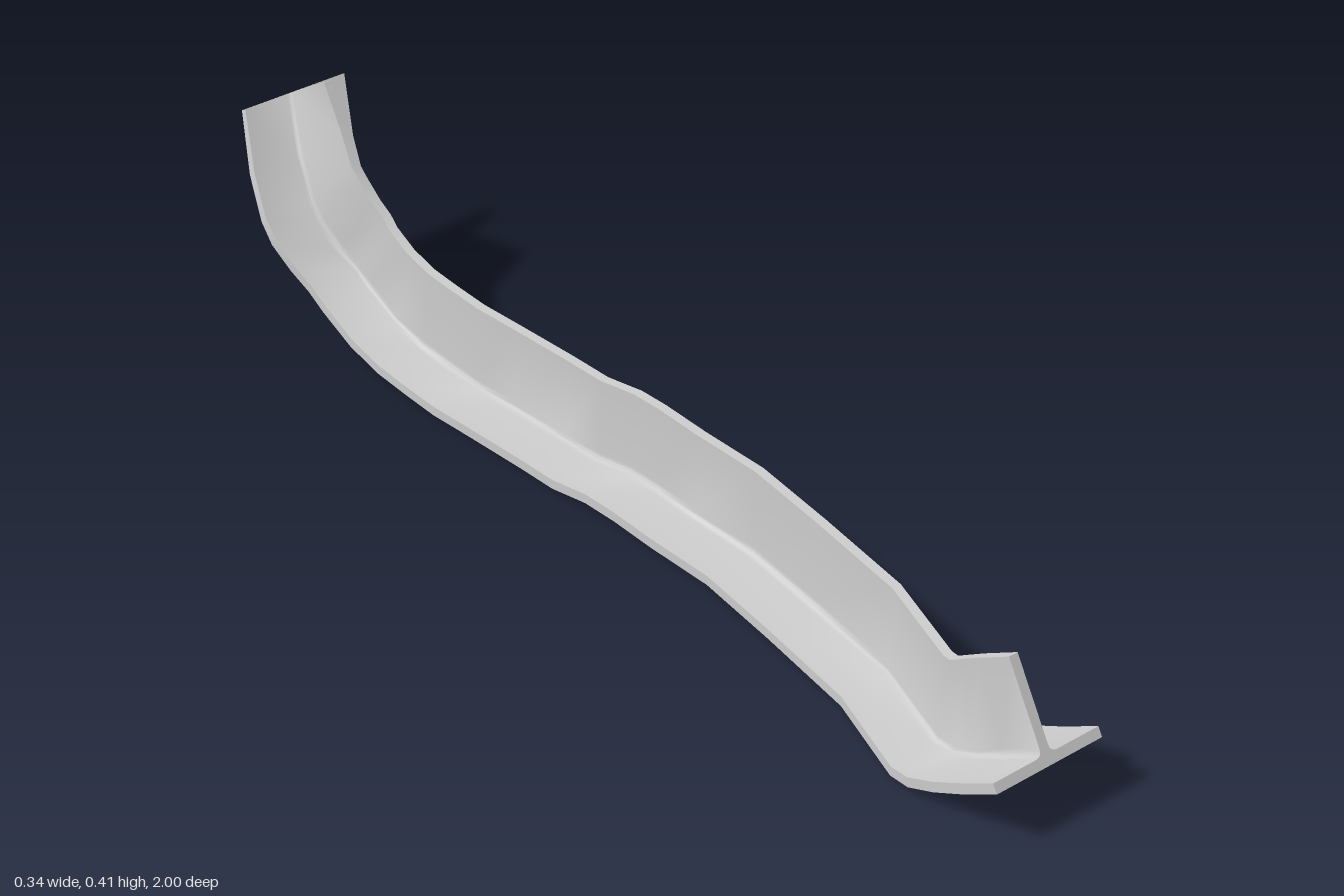
import * as THREE from 'three';
import { toCreasedNormals } from 'three/addons/utils/BufferGeometryUtils.js';

// Stations from back to front: z, y of the underside, x of the centre, pitch in degrees, sideways lean of the web top
const STATIONS = [
  [-1.0, 0.325, 0.064, -59, -0.023],
  [-0.94, 0.235, 0.033, -53, 0.004],
  [-0.89, 0.17, 0.018, -45, 0.012],
  [-0.86, 0.137, 0.017, -41, 0.016],
  [-0.82, 0.1, 0.026, -36, 0.01],
  [-0.78, 0.073, 0.034, -30, 0.004],
  [-0.74, 0.051, 0.034, -24, 0],
  [-0.66, 0.02, 0.032, -13, 0],
  [-0.58, 0.005, 0.03, -6, 0],
  [-0.5, 0.002, 0.028, 0, 0],
  [-0.42, 0.002, 0.025, 0, 0],
  [-0.33, 0.001, 0.031, 0, 0],
  [-0.2, 0.001, 0.037, 0, 0],
  [-0.12, 0.002, 0.038, -2, 0],
  [-0.04, 0.013, 0.042, -2, 0],
  [0.03, 0.014, 0.043, 2, 0],
  [0.12, 0.008, 0.046, 1, 0],
  [0.25, 0.005, 0.05, 0, 0],
  [0.42, 0.006, 0.027, 0, 0],
  [0.62, 0.008, -0.005, 0, 0],
  [0.79, 0.007, -0.063, 0, 0],
  [0.83, 0.011, -0.066, 8, 0],
  [0.88, 0.03, -0.063, 18, 0],
  [0.93, 0.055, -0.06, 27, 0],
  [1.0, 0.095, -0.058, 30, 0],
];

const HALF_WIDTH = 0.105, FLANGE = 0.017, HALF_WEB = 0.0085, HEIGHT = 0.17, FILLET = 0.013;

// Inverted T section with filleted web root
function sectionShape() {
  const s = new THREE.Shape();
  s.moveTo(-HALF_WIDTH, 0);
  s.lineTo(HALF_WIDTH, 0);
  s.lineTo(HALF_WIDTH, FLANGE);
  s.lineTo(HALF_WEB + FILLET, FLANGE);
  s.quadraticCurveTo(HALF_WEB, FLANGE, HALF_WEB, FLANGE + FILLET);
  s.lineTo(HALF_WEB, HEIGHT);
  s.lineTo(-HALF_WEB, HEIGHT);
  s.lineTo(-HALF_WEB, FLANGE + FILLET);
  s.quadraticCurveTo(-HALF_WEB, FLANGE, -HALF_WEB - FILLET, FLANGE);
  s.lineTo(-HALF_WIDTH, FLANGE);
  return s;
}

export function createModel() {
  const group = new THREE.Group();
  group.name = 'bentBeam';

  // One extrusion step per station, then each slice is moved onto its station
  const last = STATIONS.length - 1;
  const geometry = new THREE.ExtrudeGeometry(sectionShape(), {
    depth: last, steps: last, bevelEnabled: false, curveSegments: 4,
  });
  const p = geometry.attributes.position;
  for (let i = 0; i < p.count; i++) {
    const [z, y, x, pitch, lean] = STATIONS[Math.round(p.getZ(i))];
    const a = THREE.MathUtils.degToRad(pitch);
    const h = p.getY(i);
    p.setXYZ(i, x + p.getX(i) + lean * h / HEIGHT, y + h * Math.cos(a), z - h * Math.sin(a));
  }

  // Rest the beam on the ground
  geometry.computeBoundingBox();
  geometry.translate(0, -geometry.boundingBox.min.y, 0);

  const beam = new THREE.Mesh(
    toCreasedNormals(geometry, THREE.MathUtils.degToRad(35)),
    new THREE.MeshStandardMaterial({ color: 0xcccccc }),
  );
  beam.name = 'tSectionBeam';
  group.add(beam);
  return group;
}
